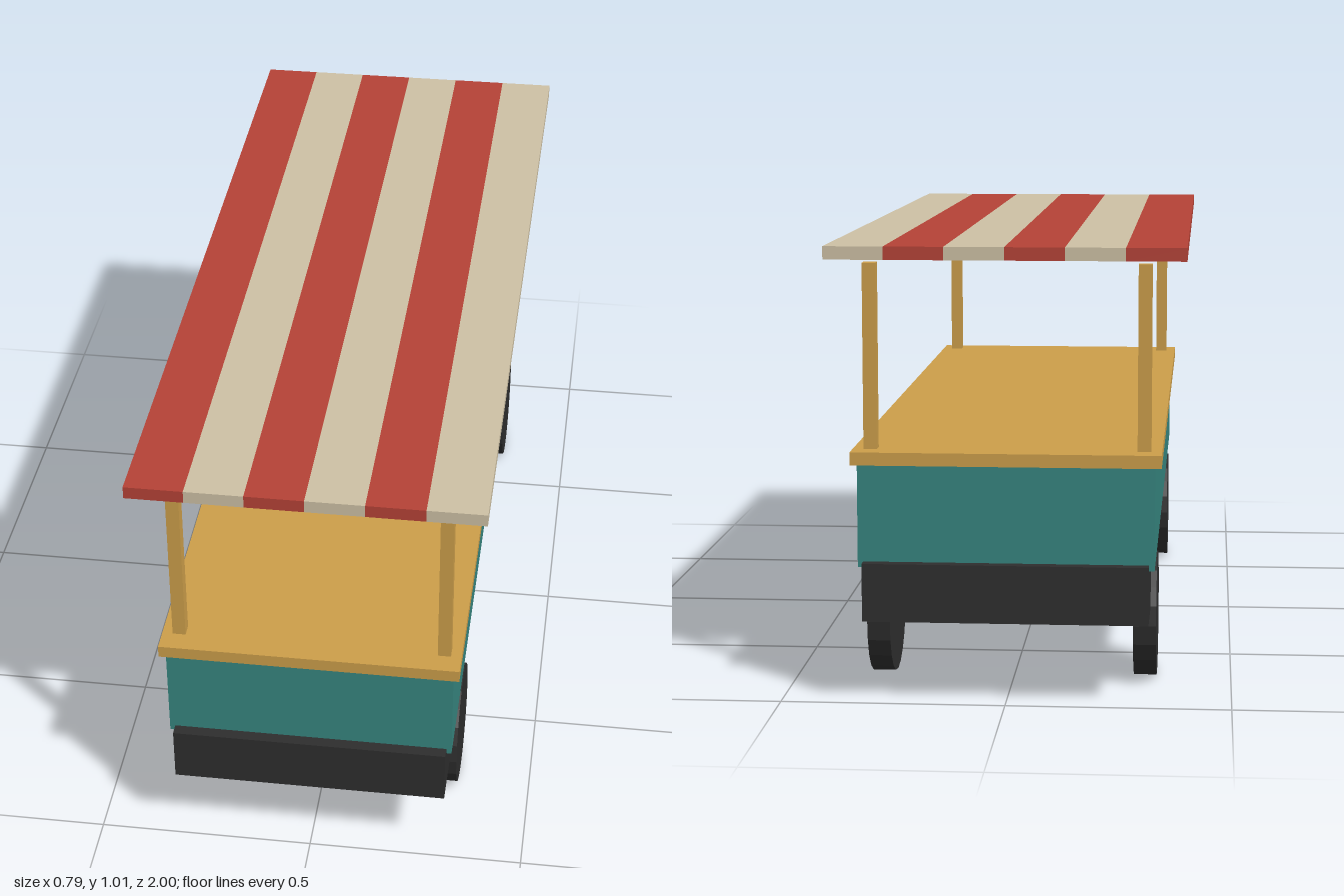
import * as THREE from 'three';

const material = (name, color, flatShading = false) => {
  const m = new THREE.MeshStandardMaterial({ color, flatShading });
  m.name = name;
  return m;
};

export function createModel() {
  const teal = material('teal paint', 0x36857f);
  const wood = material('golden wood', 0xcc9e4a);
  const dark = material('dark rubber', 0x2e2e2e, true);
  const red = material('red canvas', 0xb54236);
  const cream = material('cream canvas', 0xcdc0a4);

  const cart = new THREE.Group();
  cart.name = 'marketCart';

  const add = (name, geometry, mat, x, y, z) => {
    const mesh = new THREE.Mesh(geometry, mat);
    mesh.name = name;
    mesh.position.set(x, y, z);
    cart.add(mesh);
    return mesh;
  };
  // Box given by its width, depth and vertical extent
  const box = (name, mat, w, d, y0, y1, x = 0, z = 0) =>
    add(name, new THREE.BoxGeometry(w, y1 - y0, d), mat, x, (y0 + y1) / 2, z);

  // Chassis, body and counter top
  box('chassis', dark, 0.632, 2, 0.185, 0.315);
  box('body', teal, 0.656, 1.946, 0.302, 0.532);
  box('counterTop', wood, 0.684, 1.972, 0.532, 0.561);

  // Wheels and roof posts at the four corners
  const wheel = new THREE.CylinderGeometry(0.144, 0.144, 0.052, 20).rotateZ(Math.PI / 2);
  for (const [sx, side] of [[1, 'Left'], [-1, 'Right']]) {
    for (const [sz, end] of [[1, 'front'], [-1, 'back']]) {
      add(`${end}${side}Wheel`, wheel, dark, sx * 0.303, 0.144, sz * 0.687);
      box(`${end}${side}Post`, wood, 0.03, 0.03, 0.561, 0.973, sx * 0.303, sz * 0.921);
    }
  }

  // Flat awning of alternating stripes running front to back
  const stripe = 0.1313;
  for (let i = 0; i < 6; i++) {
    box(`awningStripe${i + 1}`, i % 2 ? cream : red, stripe, 2, 0.985, 1.014, (i - 2.5) * stripe);
  }

  return cart;
}
